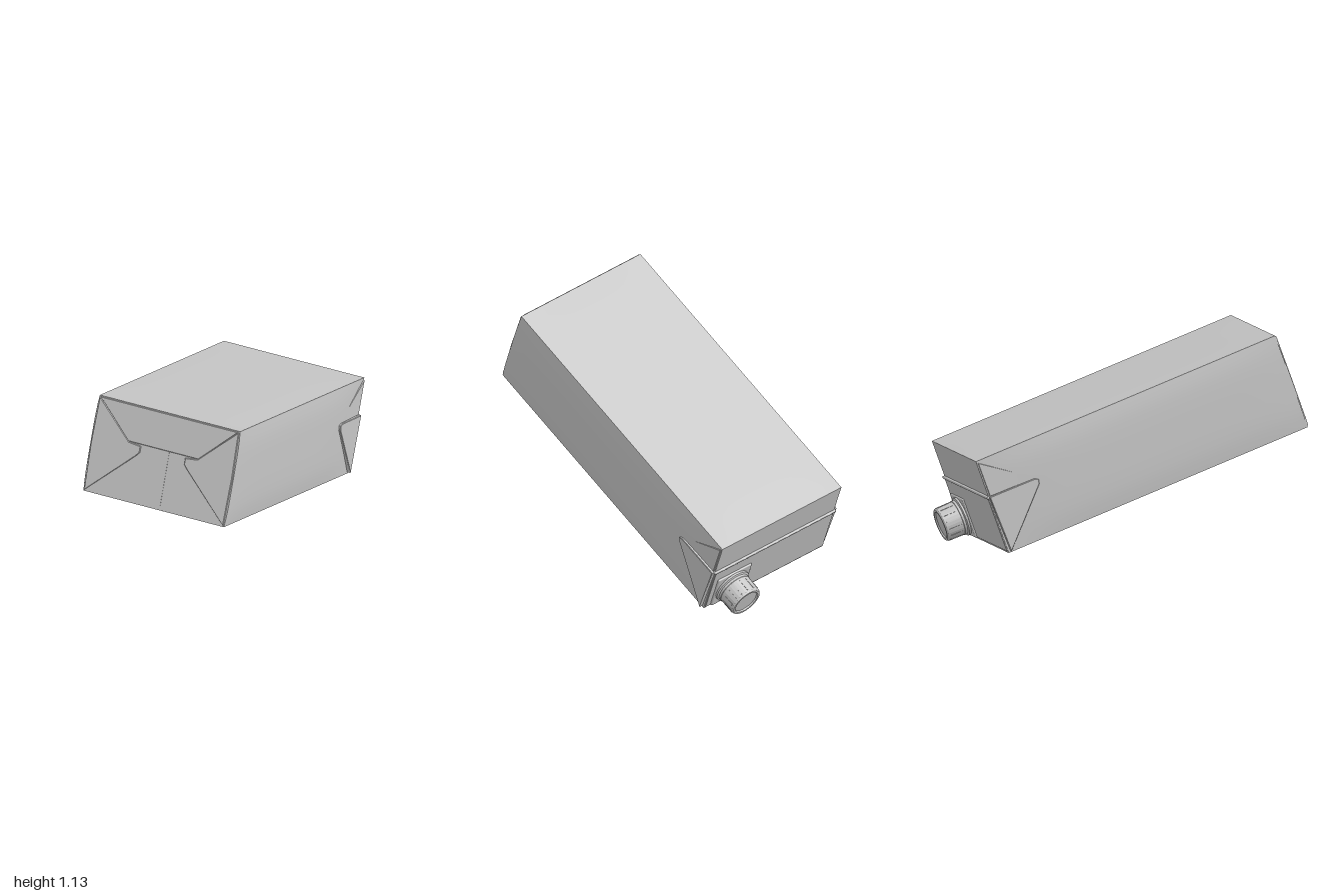
import * as THREE from 'three';
import { RoundedBoxGeometry } from 'three/addons/geometries/RoundedBoxGeometry.js';

const card = new THREE.MeshStandardMaterial({ color: 0xc8c8c8 });
card.name = 'grey card';

function add(parent, name, geometry, x = 0, y = 0, z = 0) {
  const mesh = new THREE.Mesh(geometry, card);
  mesh.name = name;
  mesh.position.set(x, y, z);
  parent.add(mesh);
  return mesh;
}

// Flat plate cut from an outline, growing towards +z
function plate(points, depth, bevel = 0.003) {
  const shape = new THREE.Shape(points.map(([x, y]) => new THREE.Vector2(x, y)));
  return new THREE.ExtrudeGeometry(shape, {
    depth, bevelEnabled: true, bevelSize: bevel, bevelThickness: bevel, bevelOffset: -bevel, bevelSegments: 1,
  });
}

// Box whose long panels swell gently between their pinched corners
function swollenBox(w, h, l) {
  const geo = new THREE.BoxGeometry(w, h, l, 12, 10, 28);
  const p = geo.attributes.position;
  const hump = (t) => 1 - t ** 4;
  for (let i = 0; i < p.count; i++) {
    const u = p.getX(i) / (w / 2), v = p.getY(i) / (h / 2), t = p.getZ(i) / (l / 2);
    const along = t > 0 ? 1 - 0.4 * t ** 6 : hump(t);
    p.setX(i, p.getX(i) + u * 0.012 * hump(v) * along);
    p.setY(i, p.getY(i) + v * (v < 0 ? 0.009 : 0.004) * hump(u) * hump(t));
  }
  geo.computeVertexNormals();
  return geo;
}

export function createModel() {
  const model = new THREE.Group();
  const carton = new THREE.Group();
  carton.name = 'carton';
  model.add(carton);

  const W = 0.82, H = 0.532, front = 0.886, back = -0.887, midY = -0.003;

  // Main box
  add(carton, 'body', swollenBox(W, H, front - back), 0, midY, (front + back) / 2);

  // Folded base: upper panel and two tucked triangles
  add(carton, 'baseUpperPanel',
    plate([[-0.4, 0.257], [-0.205, 0.058], [0.205, 0.058], [0.4, 0.257]], 0.005), 0, 0, front - 0.002);
  const tuck = plate([[0.405, 0.256], [0.412, 0], [0.405, -0.262], [0.15, -0.012], [0.13, 0.012], [0.13, 0.048],
    [0.2, 0.056]], 0.006);
  // Side ears at the top end: triangle folded down, with a shallow crease above
  const ear = plate([[0.874, -0.262], [0.886, 0.058], [0.62, 0.056], [0.6, 0.045], [0.605, 0.02]], 0.018);
  const crease = plate([[0.61, 0.055], [0.88, 0.058], [0.88, 0.252]], 0.006, 0.002);
  for (const side of [1, -1]) {
    const name = side > 0 ? 'left' : 'right';
    add(carton, name + 'BaseTuck', tuck, 0, 0, front - 0.001).scale.x = side;
    const fold = new THREE.Group();
    fold.name = name + 'EarFold';
    fold.scale.x = side;
    carton.add(fold);
    for (const [part, geo] of [['ear', ear], ['earCrease', crease]]) {
      add(fold, part, geo, W / 2 - 0.001).rotation.y = Math.PI / 2;
    }
  }

  // Top end: slightly raised lower panel and the folded fin across it
  add(carton, 'topLowerPanel', new RoundedBoxGeometry(W - 0.01, 0.31, 0.012, 2, 0.004), 0, -0.103, back);
  add(carton, 'topFin', new RoundedBoxGeometry(W + 0.014, 0.016, 0.024, 2, 0.005), 0, 0.053, back);

  // Lengthwise glue seam on the underside and base
  add(carton, 'undersideSeam', new THREE.BoxGeometry(0.012, 0.006, 1.7), 0.035, midY - H / 2 - 0.007, 0);
  add(carton, 'baseSeam', new THREE.BoxGeometry(0.008, 0.31, 0.004), 0.03, -0.1, front);

  // Screw cap on a square collar
  const spout = new THREE.Group();
  spout.name = 'spout';
  spout.position.set(0.258, -0.145, back - 0.005);
  spout.rotation.x = -Math.PI / 2;
  carton.add(spout);
  add(spout, 'collar', new RoundedBoxGeometry(0.23, 0.016, 0.225, 2, 0.007), 0, 0.003, 0);
  const profile = [[0.108, 0], [0.108, 0.022], [0.098, 0.027], [0.098, 0.04], [0.096, 0.042],
    [0.093, 0.134], [0.087, 0.142], [0.075, 0.142], [0.071, 0.134], [0, 0.134]];
  const capGeo = new THREE.LatheGeometry(profile.map(([r, y]) => new THREE.Vector2(r, y)), 28).toNonIndexed();
  capGeo.computeVertexNormals();
  add(spout, 'cap', capGeo);
  const rib = new THREE.BoxGeometry(0.008, 0.08, 0.008);
  for (let i = 0; i < 14; i++) {
    const a = (i / 14) * Math.PI * 2;
    add(spout, 'capRib', rib, Math.sin(a) * 0.092, 0.085, Math.cos(a) * 0.092).rotation.y = a;
  }

  // Tilt the whole carton into its resting pose
  const zAxis = new THREE.Vector3(-0.22, 0.335, 0.916).normalize();
  const xAxis = new THREE.Vector3(0.972, -0.035, 0.238);
  const yAxis = new THREE.Vector3().crossVectors(zAxis, xAxis).normalize();
  xAxis.crossVectors(yAxis, zAxis);
  carton.quaternion.setFromRotationMatrix(new THREE.Matrix4().makeBasis(xAxis, yAxis, zAxis));
  carton.position.set(0, 0.571, -0.003);
  return model;
}
